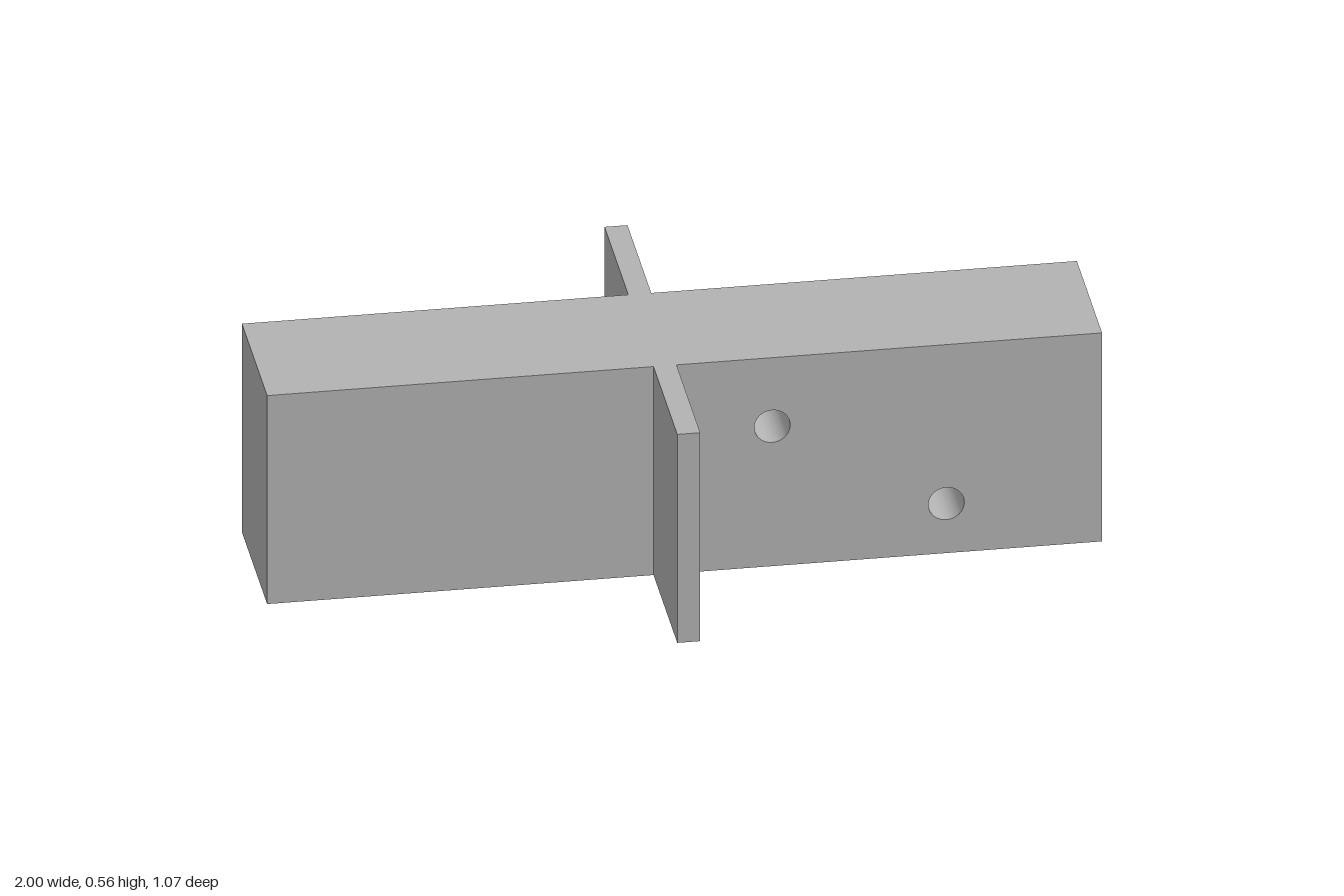
import * as THREE from 'three';

const HEIGHT = 0.556;
const HALF_DEPTH = 0.186;
const FIN_REACH = 0.537;

export function createModel() {
  const model = new THREE.Group();
  model.name = 'drilledBlock';

  const grey = new THREE.MeshStandardMaterial({ color: 0xb2b2b2 });
  grey.name = 'plain grey';

  // Long block with two holes drilled through from front to back
  const outline = new THREE.Shape();
  outline.moveTo(-1, 0).lineTo(1, 0).lineTo(1, HEIGHT).lineTo(-1, HEIGHT).closePath();
  for (const [x, y] of [[0.21, 0.373], [0.627, 0.132]]) {
    const hole = new THREE.Path();
    hole.absarc(x, y, 0.043, 0, Math.PI * 2, true);
    outline.holes.push(hole);
  }
  const blockGeometry = new THREE.ExtrudeGeometry(outline, {
    depth: HALF_DEPTH * 2, bevelEnabled: false, curveSegments: 24,
  });
  blockGeometry.translate(0, 0, -HALF_DEPTH);
  const block = new THREE.Mesh(blockGeometry, grey);
  block.name = 'block';
  model.add(block);

  // Thin upright fins on the front and back
  const finDepth = FIN_REACH - HALF_DEPTH;
  for (const side of [1, -1]) {
    const fin = new THREE.Mesh(new THREE.BoxGeometry(0.055, HEIGHT, finDepth), grey);
    fin.name = side > 0 ? 'frontFin' : 'backFin';
    fin.position.set(-0.047, HEIGHT / 2, side * (HALF_DEPTH + finDepth / 2));
    model.add(fin);
  }

  return model;
}
